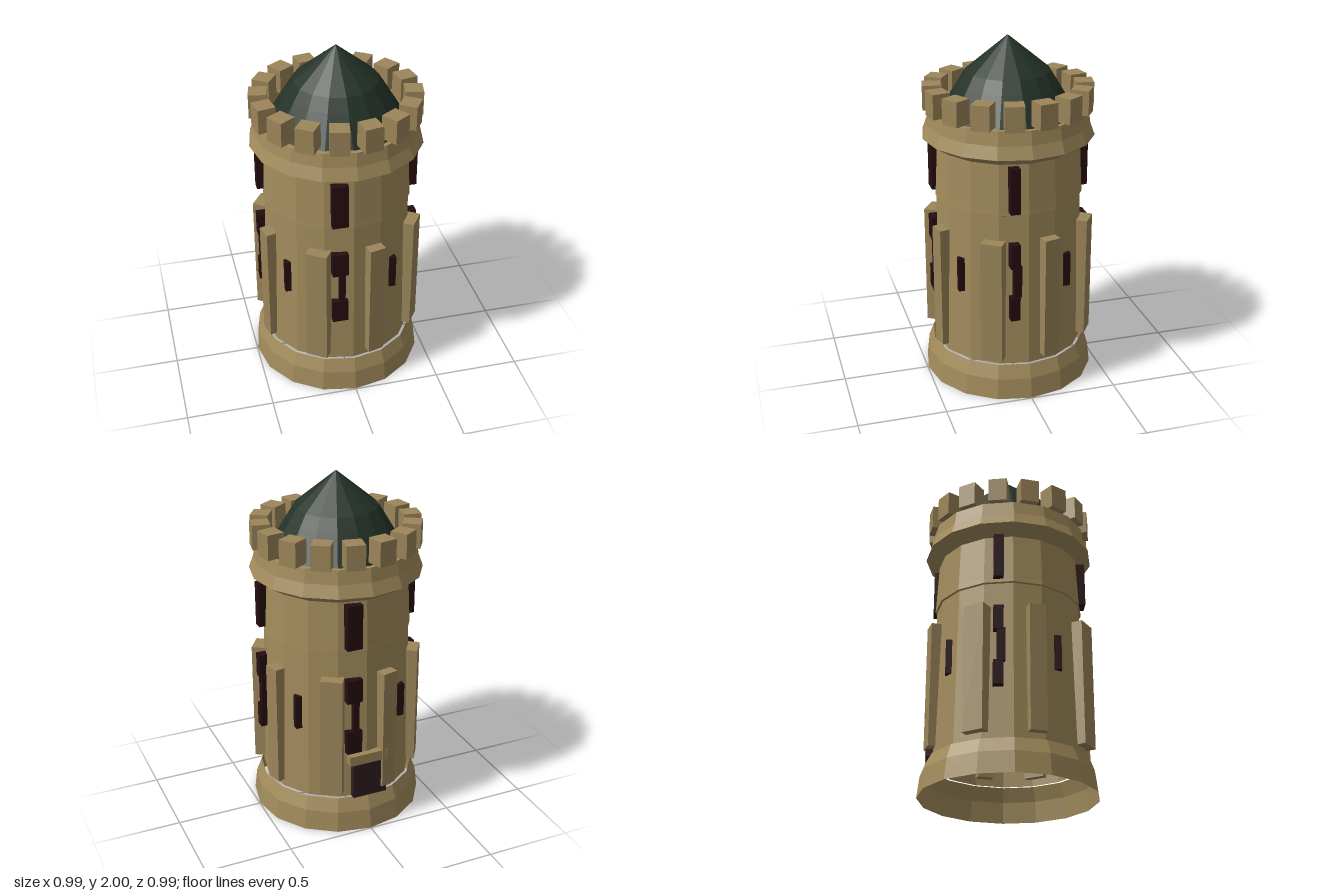
import * as THREE from 'three';

const mat = (name, color, side = THREE.FrontSide) => {
  const m = new THREE.MeshStandardMaterial({ color, side, flatShading: true });
  m.name = name;
  return m;
};

export function createModel() {
  const stone = mat('stone', 0xa38c5c, THREE.DoubleSide);
  const trim = mat('trimStone', 0x9c865a);
  const dark = mat('windowDark', 0x260d10);
  const doorWood = mat('doorWood', 0x2e1d20);
  const roofGreen = mat('roofGreen', 0x243228, THREE.DoubleSide);

  const tower = new THREE.Group();
  tower.name = 'tower';

  // Sixteen-sided shell turned from [radius, height] pairs
  const shell = (name, profile, material) => {
    const points = profile.map(([r, y]) => new THREE.Vector2(r, y));
    const mesh = new THREE.Mesh(new THREE.LatheGeometry(points, 16), material);
    mesh.name = name;
    tower.add(mesh);
  };

  // Box given by its minimum and maximum corners
  const block = (parent, name, [x0, y0, z0], [x1, y1, z1], material) => {
    const mesh = new THREE.Mesh(new THREE.BoxGeometry(x1 - x0, y1 - y0, z1 - z0), material);
    mesh.position.set((x0 + x1) / 2, (y0 + y1) / 2, (z0 + z1) / 2);
    mesh.name = name;
    parent.add(mesh);
  };

  // Open stone shells, with a narrow gap above the base
  shell('base', [[0.497, 0], [0.483, 0.12], [0.452, 0.2]], stone);
  shell('lowerWall', [[0.436, 0.2], [0.414, 1.105]], stone);
  shell('stringCourse', [[0.414, 1.105], [0.424, 1.11], [0.422, 1.135]], stone);
  shell('upperWall', [[0.422, 1.135], [0.408, 1.4]], stone);
  shell('parapet', [[0.408, 1.4], [0.488, 1.45], [0.462, 1.52], [0.45, 1.6],
    [0.425, 1.6], [0.408, 1.5]], stone);
  shell('roof', [[0.396, 1.55], [0.28, 1.74], [0.236, 1.81], [0.006, 2]], roofGreen);

  // Battlements
  for (let i = 0; i < 16; i++) {
    const a = (i + 0.5) * Math.PI / 8;
    const merlon = new THREE.Mesh(new THREE.BoxGeometry(0.105, 0.14, 0.102), trim);
    merlon.position.set(Math.sin(a) * 0.424, 1.67, Math.cos(a) * 0.424);
    merlon.rotation.y = a;
    merlon.name = 'merlon';
    tower.add(merlon);
  }

  // Buttress with its outer face centred on (x, z) and turned by an angle
  const buttress = (parent, x, z, width, angle) => {
    const depth = 0.085;
    const mesh = new THREE.Mesh(new THREE.BoxGeometry(width, 0.72, depth), trim);
    mesh.position.set(x - Math.sin(angle) * depth / 2, 0.6, z - Math.cos(angle) * depth / 2);
    mesh.rotation.y = angle;
    mesh.name = 'buttress';
    parent.add(mesh);
  };

  // Windows and buttresses repeat on each quarter
  for (let i = 0; i < 4; i++) {
    const quarter = new THREE.Group();
    quarter.name = 'quarter' + (i + 1);
    quarter.rotation.y = i * Math.PI / 2;
    tower.add(quarter);
    // Side slits are narrower and stand out a little further
    const [x0, x1, z1] = i % 2 ? [-0.11, -0.055, 0.447] : [-0.125, -0.035, 0.436];
    const [s0, s1] = i % 2 ? [-0.09, -0.045] : [-0.085, -0.05];
    block(quarter, 'upperWindow', [x0, 1.13, 0.37], [x1, 1.39, z1], dark);
    block(quarter, 'lowerWindowTop', [x0, 0.81, 0.38], [x1, 0.95, z1 + 0.006], dark);
    block(quarter, 'lowerWindowSlit', [s0, 0.63, 0.38], [s1, 0.82, z1], dark);
    block(quarter, 'lowerWindowBottom', [x0, 0.49, 0.38], [x1, 0.63, z1 + 0.006], dark);
    block(quarter, 'arrowSlit', [0.225, 0.62, 0.325], [0.265, 0.82, 0.36], dark);
    buttress(quarter, 0.13, 0.453, 0.094, 0.26);
    buttress(quarter, -0.2175, 0.425, 0.124, -0.589);
  }

  // Back doorway
  block(tower, 'door', [-0.115, 0.2, -0.452], [0.09, 0.42, -0.38], doorWood);
  block(tower, 'doorLintel', [-0.12, 0.42, -0.462], [0.115, 0.48, -0.38], trim);

  return tower;
}
